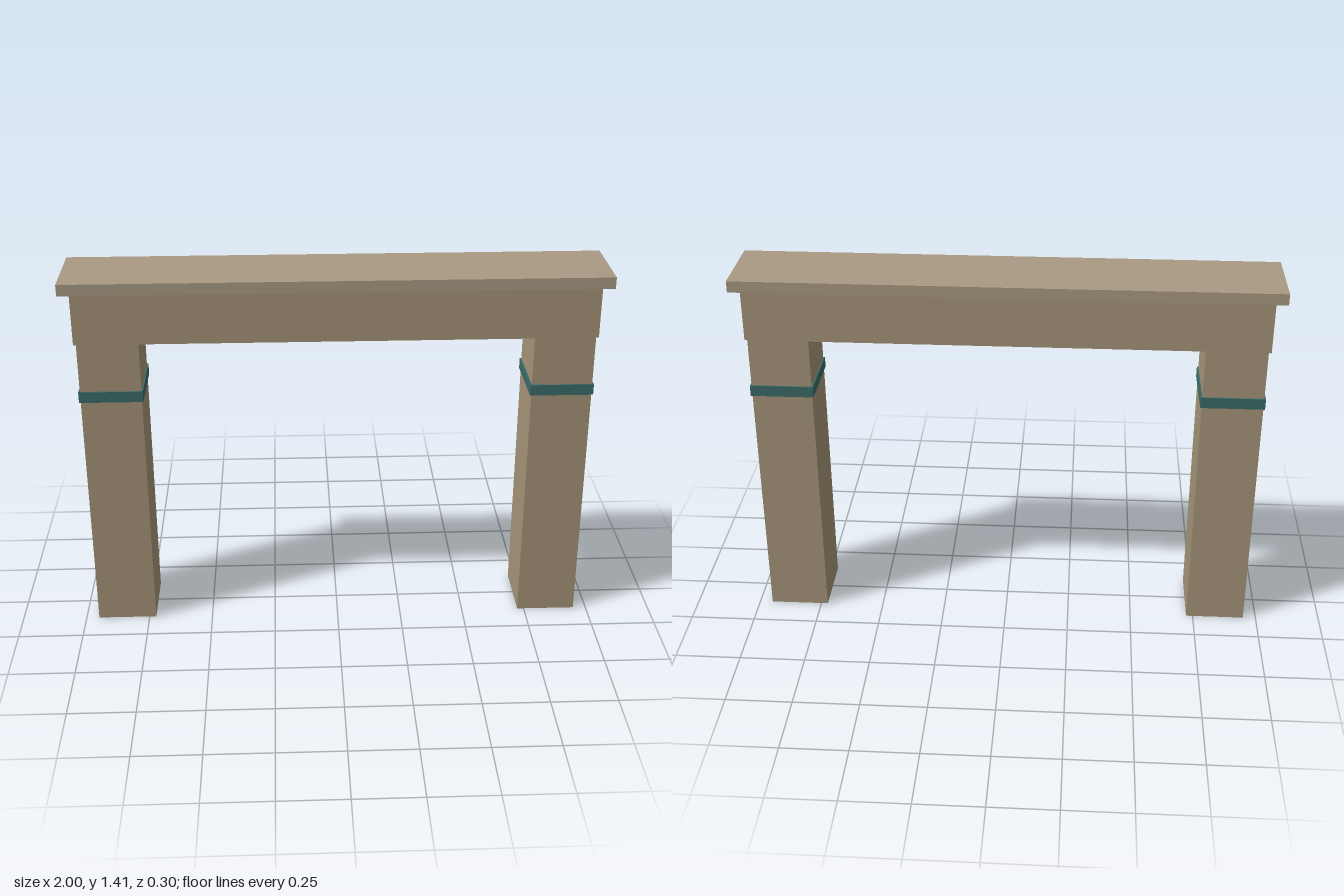
import * as THREE from 'three';

const stone = new THREE.MeshStandardMaterial({ color: 0xa59478 });
const capStone = new THREE.MeshStandardMaterial({ color: 0xa99a82 });
const teal = new THREE.MeshStandardMaterial({ color: 0x3a6b68 });

// Box centred on z = 0, standing on height y
function block(name, material, width, height, depth, x, y) {
  const mesh = new THREE.Mesh(new THREE.BoxGeometry(width, height, depth), material);
  mesh.name = name;
  mesh.position.set(x, y + height / 2, 0);
  return mesh;
}

export function createModel() {
  const gate = new THREE.Group();
  gate.name = 'gateway';

  // Two square posts, each with a coloured band
  for (const [side, sign] of [['left', 1], ['right', -1]]) {
    const x = sign * 0.837;
    gate.add(block(side + 'Post', stone, 0.226, 1.17, 0.252, x, 0));
    gate.add(block(side + 'Band', teal, 0.237, 0.042, 0.264, x, 0.943));
  }

  // Lintel and the wider cap slab on top
  gate.add(block('lintel', stone, 1.92, 0.198, 0.252, 0, 1.17));
  gate.add(block('capSlab', capStone, 2, 0.043, 0.302, 0, 1.368));
  return gate;
}
